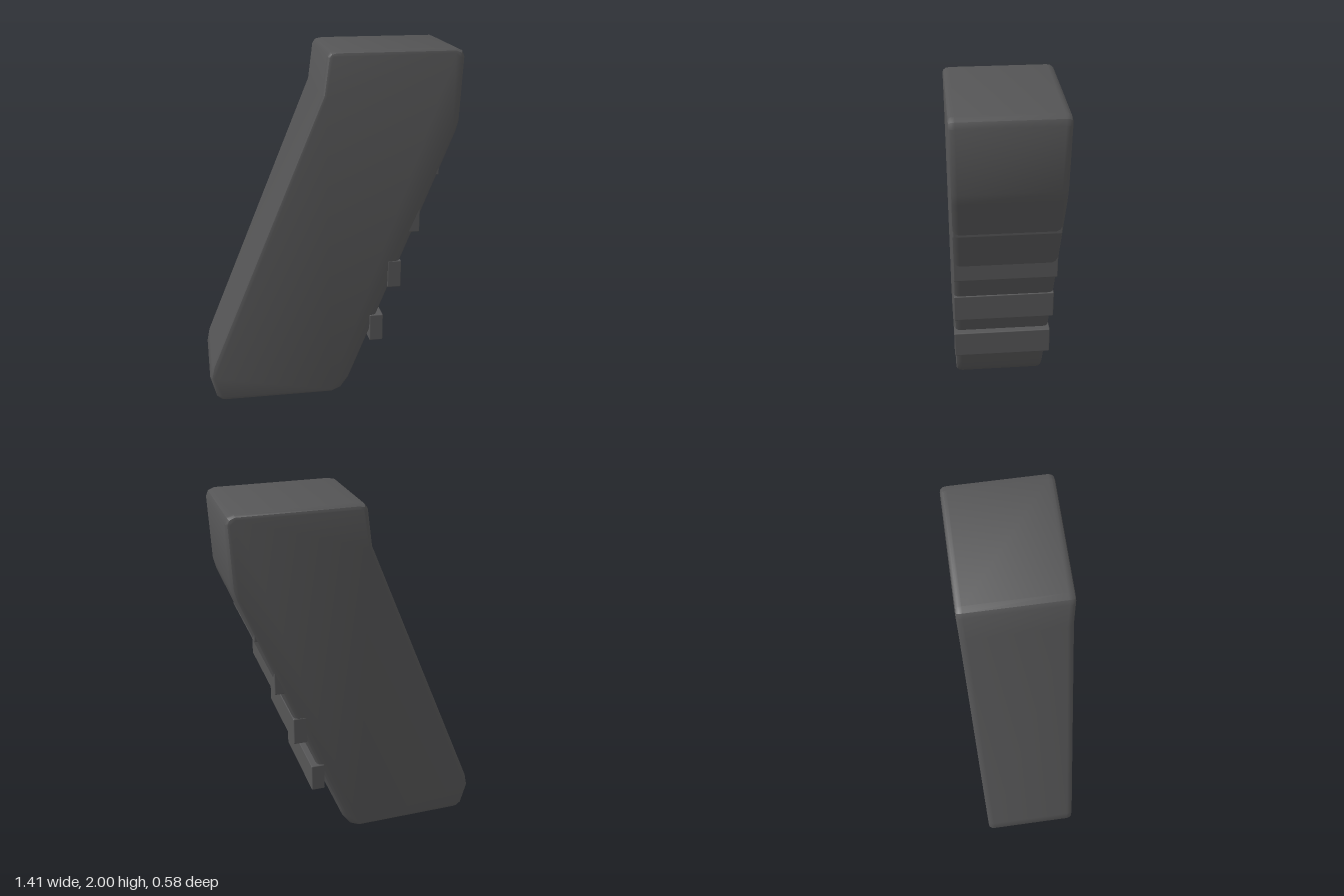
import * as THREE from 'three';
import { toCreasedNormals } from 'three/addons/utils/BufferGeometryUtils.js';
import { RoundedBoxGeometry } from 'three/addons/geometries/RoundedBoxGeometry.js';

const darkGrey = new THREE.MeshStandardMaterial({ color: 0x555556 });
darkGrey.name = 'darkGrey';

// Half thickness of the grip, growing slightly towards the top
const halfDepth = (y) => 0.266 + 0.0125 * y;

function createBody() {
  // Side outline, counter-clockwise from the bottom rear
  const outline = [
    [-0.645, 0.005], [-0.62, 0], [0, 0], [0.055, 0.025], [0.1, 0.09], [0.122, 0.145],
    [0.675, 1.55], [0.69, 1.61], [0.703, 1.955], [0.69, 1.985], [0.655, 2],
    [0.02, 2], [-0.015, 1.993], [-0.032, 1.97],
    [-0.058, 1.77], [-0.69, 0.225], [-0.705, 0.15], [-0.672, 0.03],
  ].map(([x, y]) => new THREE.Vector2(x, y));
  const bevel = 0.035;
  let geometry = new THREE.ExtrudeGeometry(new THREE.Shape(outline), {
    depth: 2 - 2 * bevel, bevelThickness: bevel, bevelSize: 0.024,
    bevelOffset: -0.024, bevelSegments: 3,
  });
  geometry.translate(0, 0, bevel - 1);
  // Squeeze the depth to the tapered thickness, keeping the bevel size
  const p = geometry.attributes.position;
  for (let i = 0; i < p.count; i++) {
    const z = p.getZ(i);
    p.setZ(i, Math.sign(z) * (halfDepth(p.getY(i)) - (1 - Math.abs(z))));
  }
  geometry = toCreasedNormals(geometry, 0.55);
  const mesh = new THREE.Mesh(geometry, darkGrey);
  mesh.name = 'gripBody';
  return mesh;
}

export function createModel() {
  const group = new THREE.Group();
  group.name = 'angledGrip';
  group.add(createBody());

  // Four finger ridges stepping up the sloping front edge
  const ridge = new RoundedBoxGeometry(0.078, 0.16, 0.556, 1, 0.006);
  for (let i = 0; i < 4; i++) {
    const mesh = new THREE.Mesh(ridge, darkGrey);
    mesh.name = `fingerRidge${i + 1}`;
    mesh.position.set(0.255 + i * 0.098, 0.411 + i * 0.327, 0);
    group.add(mesh);
  }
  return group;
}
